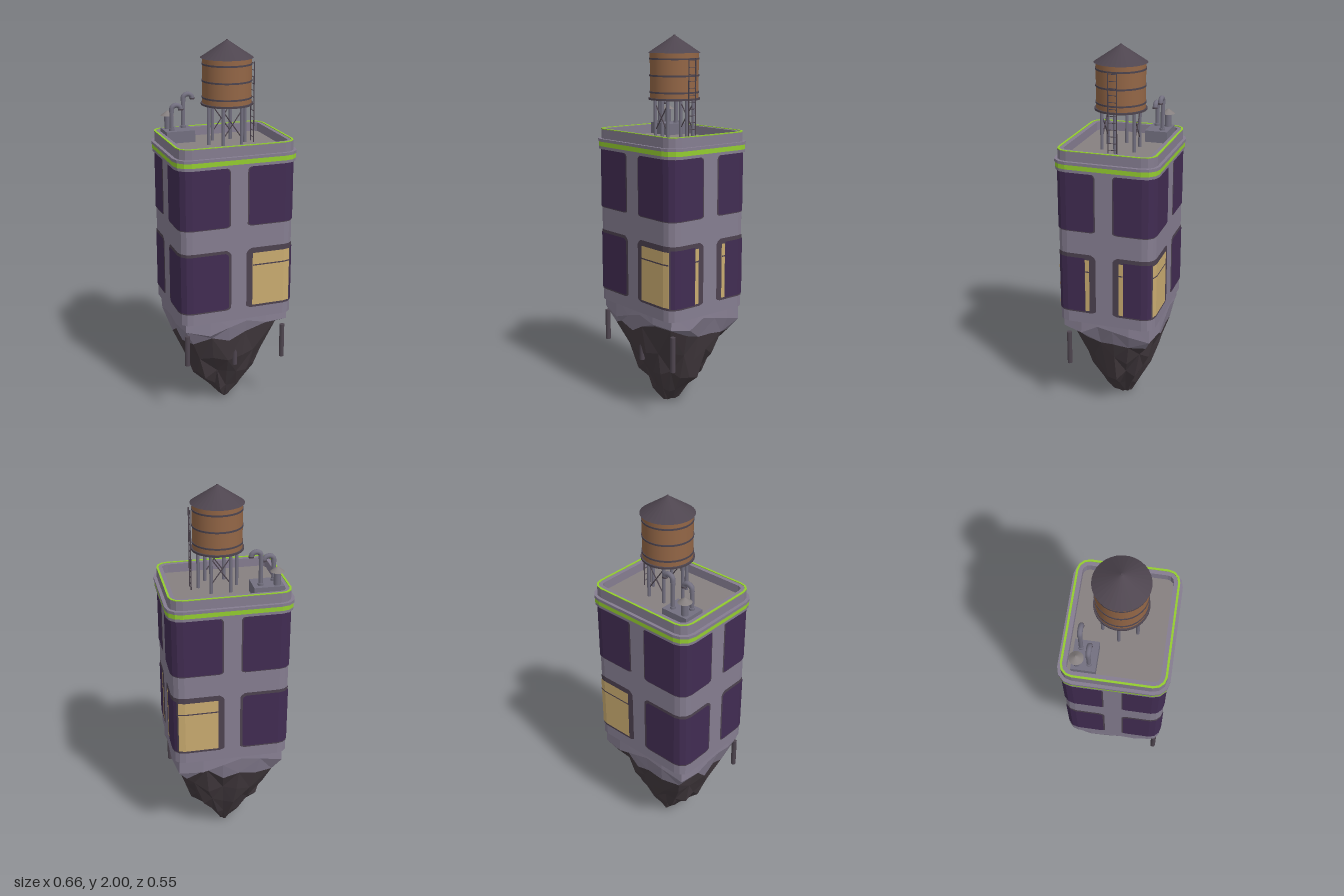
import * as THREE from 'three';

const mat = (name, color) => {
  const m = new THREE.MeshStandardMaterial({ color });
  m.name = name;
  return m;
};

export function createModel() {
  const M = {
    wall: mat('wall plaster', 0x857d90), floor: mat('roof floor', 0x868080),
    glass: mat('dark glass', 0x412c52), frame: mat('window frame', 0x4d4250),
    lit: mat('lit glass', 0xc9ab70), green: mat('green trim', 0x93cc30),
    rock: mat('rock', 0x443b40), wood: mat('tank wood', 0x936646),
    dark: mat('dark iron', 0x4e454f), metal: mat('metal', 0x737080),
  };
  const model = new THREE.Group();
  const add = (name, geo, m, x = 0, y = 0, z = 0, parent = model) => {
    const mesh = new THREE.Mesh(geo, m);
    mesh.name = name;
    mesh.position.set(x, y, z);
    parent.add(mesh);
    return mesh;
  };
  const group = (name) => {
    const g = new THREE.Group();
    g.name = name;
    model.add(g);
    return g;
  };
  // cylinder between two points
  const rod = (name, a, b, r, m, parent) => {
    const p = new THREE.Vector3(...a), q = new THREE.Vector3(...b);
    const d = q.clone().sub(p);
    const mesh = add(name, new THREE.CylinderGeometry(r, r, d.length(), 8), m, 0, 0, 0, parent);
    mesh.position.copy(p).add(q).multiplyScalar(0.5);
    mesh.quaternion.setFromUnitVectors(new THREE.Vector3(0, 1, 0), d.normalize());
    return mesh;
  };

  // rounded plan outline with faceted corners, and slabs made from it
  const SEG = 3;
  const outline = (hx, hz, r) => {
    const pts = [];
    [[1, 1], [-1, 1], [-1, -1], [1, -1]].forEach(([sx, sz], k) => {
      for (let i = 0; i <= SEG; i++) {
        const a = (k + i / SEG) * Math.PI / 2;
        pts.push(new THREE.Vector2(sx * (hx - r) + r * Math.cos(a), sz * (hz - r) + r * Math.sin(a)));
      }
    });
    return pts;
  };
  const slab = (name, m, hx, hz, r, y0, y1, rim = 0) => {
    const s = new THREE.Shape(outline(hx, hz, r));
    if (rim) s.holes.push(new THREE.Path(outline(hx - rim, hz - rim, Math.max(r - rim, 0.02)).reverse()));
    const g = new THREE.ExtrudeGeometry(s, { depth: y1 - y0, bevelEnabled: false });
    return add(name, g.rotateX(-Math.PI / 2), m, 0, y0, 0);
  };

  // building body, cornice, parapet
  const HX = 0.31, HZ = 0.26, R = 0.06;
  slab('buildingBody', M.wall, HX, HZ, R, 0.57, 1.41);
  slab('corniceLower', M.wall, 0.325, 0.272, 0.075, 1.405, 1.42);
  slab('corniceStripe', M.green, 0.326, 0.273, 0.075, 1.42, 1.445);
  slab('corniceUpper', M.wall, 0.33, 0.276, 0.08, 1.445, 1.46);
  slab('parapet', M.wall, 0.313, 0.26, 0.065, 1.46, 1.51, 0.032);
  slab('parapetTrim', M.green, 0.313, 0.26, 0.065, 1.508, 1.513, 0.011);
  slab('roofFloor', M.floor, 0.285, 0.235, 0.035, 1.455, 1.463);

  // thin plate that wraps a building corner; u < 0 lies on front/back, u > L on the sides
  const CX = HX - R, CZ = HZ - R, L = R * Math.PI / 2;
  const band = (name, m, sx, sz, u0, u1, y0, y1, off, round = 0) => {
    const us = [u0, u1];
    for (let i = 0; i <= SEG; i++) us.push(L * i / SEG);
    if (round) us.push(u0 + round * 0.3, u0 + round, u1 - round, u1 - round * 0.3);
    const cols = us.filter((u) => u >= u0 && u <= u1).sort((a, b) => a - b).map((u) => {
      const a = Math.min(Math.max(u / R, 0), Math.PI / 2);
      const x = CX + Math.min(u, 0) + (R + off) * Math.sin(a);
      const z = CZ - Math.max(u - L, 0) + (R + off) * Math.cos(a);
      const e = round ? Math.max(0, 1 - Math.min(u - u0, u1 - u) / round) : 0;
      const inset = round * e * e;
      return [sx * x, sz * z, y0 + inset * 0.5, y1 - inset];
    });
    if (sx * sz < 0) cols.reverse();
    const pos = [];
    for (let i = 0; i + 1 < cols.length; i++) {
      const [ax, az, ab, at] = cols[i], [bx, bz, bb, bt] = cols[i + 1];
      pos.push(ax, ab, az, bx, bb, bz, bx, bt, bz, ax, ab, az, bx, bt, bz, ax, at, az);
    }
    const g = new THREE.BufferGeometry();
    g.setAttribute('position', new THREE.Float32BufferAttribute(pos, 3));
    g.computeVertexNormals();
    add(name, g, m);
  };
  const front = (x) => x - CX;
  const side = (z) => L + CZ - z;

  // corner windows
  for (const sx of [1, -1]) for (const sz of [1, -1]) {
    band('upperWindowFrame', M.frame, sx, sz, front(0.046), side(0.046), 1.088, 1.405, 0.002, 0.02);
    band('upperWindowGlass', M.glass, sx, sz, front(0.053), side(0.053), 1.093, 1.403, 0.004, 0.018);
    band('lowerWindowFrame', M.frame, sx, sz, front(0.042), side(0.046), 0.632, 0.966, 0.002, 0.025);
    if (sx < 0) {
      band('lowerWindowGlass', M.glass, sx, sz, front(0.055), side(0.055), 0.64, 0.95, 0.004, 0.018);
    } else {
      const split = L * 0.36;
      band('litPane', M.lit, sx, sz, front(0.075), split, 0.645, 0.937, 0.004);
      band('paneBar', M.frame, sx, sz, front(0.075), split, 0.867, 0.874, 0.006);
      band('sideGlass', M.glass, sx, sz, split + 0.008, side(0.105), 0.64, 0.945, 0.004);
      band('sideLitPane', M.lit, sx, sz, side(0.103), side(0.08), 0.645, 0.937, 0.004);
      band('sidePaneBar', M.frame, sx, sz, side(0.103), side(0.08), 0.867, 0.874, 0.006);
    }
  }

  // floating rock: jittered rings, squarish at the top and round at the tip
  let seed = 11;
  const rnd = () => (seed = (seed * 16807) % 2147483647) / 2147483647 * 2 - 1;
  const N = 20;
  // y, half x, half z, squareness, height jitter, radius jitter
  const rings = [
    [0.61, 0.306, 0.256, 8, 0, 0], [0.555, 0.309, 0.259, 8, 0.025, 0],
    [0.455, 0.272, 0.235, 4.5, 0.055, 0.03], [0.33, 0.238, 0.198, 3, 0.035, 0.07],
    [0.2, 0.178, 0.155, 2.4, 0.03, 0.1], [0.09, 0.095, 0.1, 2, 0.02, 0.1],
    [0.008, 0.026, 0.055, 2, 0.004, 0.05], [0, 0.004, 0.004, 2, 0, 0],
  ].map(([y, hx, hz, p, jy, jr], k) => Array.from({ length: N }, (_, i) => {
    const a = (i + 0.5) / N * Math.PI * 2, c = Math.cos(a), s = Math.sin(a);
    const f = (1 + rnd() * jr) / (Math.abs(c) ** p + Math.abs(s) ** p) ** (1 / p);
    const drop = k === 1 ? 0.045 * Math.abs(Math.sin(2 * a)) : 0;
    return [c * f * hx, y - drop + rnd() * jy, s * f * hz];
  }));
  const loft = (name, list, m) => {
    const pos = [];
    for (let k = 0; k + 1 < list.length; k++) for (let i = 0; i < N; i++) {
      const j = (i + 1) % N, A = list[k], B = list[k + 1];
      if ((i + k) % 2) pos.push(...A[i], ...A[j], ...B[i], ...A[j], ...B[j], ...B[i]);
      else pos.push(...A[i], ...A[j], ...B[j], ...A[i], ...B[j], ...B[i]);
    }
    const g = new THREE.BufferGeometry();
    g.setAttribute('position', new THREE.Float32BufferAttribute(pos, 3));
    g.computeVertexNormals();
    add(name, g, m);
  };
  loft('brokenFoundation', rings.slice(0, 3), M.wall);
  loft('rockBase', rings.slice(2), M.rock);

  // broken pipes hanging below the building
  for (const [x, z, y0, y1] of [[-0.275, 0.23, 0.33, 0.5], [0, 0.205, 0.28, 0.45], [0.27, 0.215, 0.29, 0.48]])
    rod('hangingPipe', [x, y0, z], [x, y1, z], 0.014, M.dark);

  // water tank on six legs
  const tank = group('waterTank');
  tank.position.x = 0.025;
  const cyl = (r0, r1, h, n = 30) => new THREE.CylinderGeometry(r0, r1, h, n);
  add('tankBody', cyl(0.127, 0.127, 0.235), M.wood, 0, 1.795, 0, tank);
  add('tankPlatform', cyl(0.135, 0.135, 0.01), M.dark, 0, 1.676, 0, tank);
  const cone = cyl(0.004, 0.137, 0.088).toNonIndexed();
  cone.computeVertexNormals();
  add('tankRoof', cone, M.dark, 0, 1.954, 0, tank);
  add('roofKnob', cyl(0.005, 0.007, 0.008, 10), M.dark, 0, 1.996, 0, tank);
  for (const y of [1.71, 1.795, 1.88]) add('tankHoop', cyl(0.13, 0.13, 0.009), M.dark, 0, y, 0, tank);
  const leg = (i, y) => [0.1 * Math.cos(i * Math.PI / 3), y, 0.1 * Math.sin(i * Math.PI / 3)];
  for (let i = 0; i < 6; i++) rod('tankLeg', leg(i, 1.46), leg(i, 1.675), 0.009, M.metal, tank);
  for (const i of [1, 4]) {
    rod('tankBrace', leg(i, 1.51), leg(i + 1, 1.65), 0.003, M.dark, tank);
    rod('tankBrace', leg(i, 1.65), leg(i + 1, 1.51), 0.003, M.dark, tank);
  }

  // ladder beside the tank
  const ladder = group('ladder');
  for (const z of [-0.023, 0.023]) rod('ladderRail', [0.166, 1.46, z], [0.166, 1.885, z], 0.003, M.dark, ladder);
  for (let i = 0; i < 12; i++)
    rod('ladderRung', [0.166, 1.49 + i * 0.035, -0.023], [0.166, 1.49 + i * 0.035, 0.023], 0.002, M.dark, ladder);

  // vent pad with two bent pipes and a capped vent
  const vents = group('roofVents');
  add('ventPad', new THREE.BoxGeometry(0.155, 0.065, 0.12), M.metal, -0.198, 1.492, -0.145, vents);
  for (const [x, z, top] of [[-0.16, -0.17, 1.7], [-0.238, -0.12, 1.655]]) {
    rod('ventPipe', [x, 1.52, z], [x, top - 0.03, z], 0.011, M.metal, vents);
    const bend = new THREE.CatmullRomCurve3([[0, -0.035], [0.004, -0.008], [0.024, 0.002], [0.044, -0.006], [0.05, -0.022]]
      .map(([dx, dy]) => new THREE.Vector3(x + dx, top + dy, z)));
    add('ventElbow', new THREE.TubeGeometry(bend, 14, 0.013, 10), M.metal, 0, 0, 0, vents);
    const mouth = bend.getPoint(1);
    add('ventMouth', cyl(0.014, 0.014, 0.008, 10), M.dark, mouth.x, mouth.y, mouth.z, vents);
    add('ventCollar', cyl(0.015, 0.015, 0.012, 10), M.metal, x, 1.53, z, vents);
  }
  add('cappedVent', cyl(0.018, 0.018, 0.08, 14), M.metal, -0.243, 1.56, -0.178, vents);
  add('ventCap', cyl(0.004, 0.036, 0.025, 20), M.floor, -0.243, 1.607, -0.178, vents);

  return model;
}
